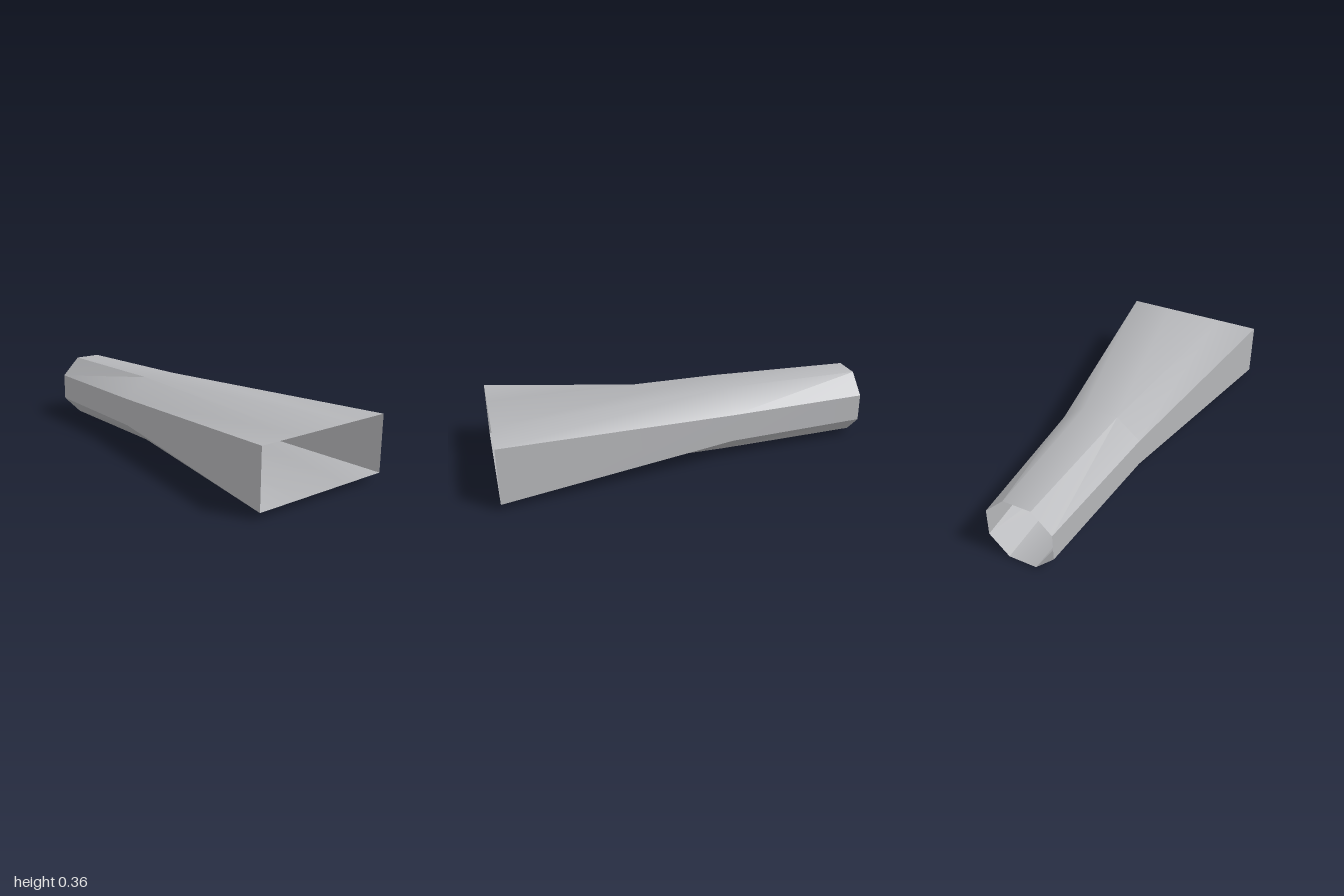
import * as THREE from 'three';
import { toCreasedNormals } from 'three/addons/utils/BufferGeometryUtils.js';

const CENTRE_Y = 0.182;

// Eight-point ring, clockwise seen from the front, starting at the upper end of the -x side.
function ring(z, sideX, sideY, topX, topY) {
  return [
    [-sideX, sideY], [-topX, topY], [topX, topY], [sideX, sideY],
    [sideX, -sideY], [topX, -topY], [-topX, -topY], [-sideX, -sideY],
  ].map(([x, y]) => [x, CENTRE_Y + y, z]);
}

// Skin neighbouring rings, front to back, leaving both ends open.
function loft(rings) {
  const positions = [];
  for (let r = 0; r < rings.length - 1; r++) {
    const front = rings[r];
    const back = rings[r + 1];
    const n = front.length;
    for (let i = 0; i < n; i++) {
      const j = (i + 1) % n;
      positions.push(...front[i], ...front[j], ...back[i]);
      positions.push(...back[i], ...front[j], ...back[j]);
    }
  }
  const geometry = new THREE.BufferGeometry();
  geometry.setAttribute('position', new THREE.Float32BufferAttribute(positions, 3));
  // Soft across the top and bottom, sharp along the side walls
  return toCreasedNormals(geometry, 0.75);
}

export function createModel() {
  const group = new THREE.Group();
  group.name = 'duct';

  const grey = new THREE.MeshStandardMaterial({ color: 0xb4b5b8, side: THREE.DoubleSide });
  grey.name = 'light grey';

  // Rectangular mouth narrowing to an octagonal neck and outlet
  const shell = new THREE.Mesh(loft([
    ring(1, 0.4, 0.147, 0.165, 0.147),
    ring(-0.23, 0.222, 0.075, 0.095, 0.181),
    ring(-1, 0.175, 0.073, 0.073, 0.175),
  ]), grey);
  shell.name = 'ductShell';
  group.add(shell);

  return group;
}
